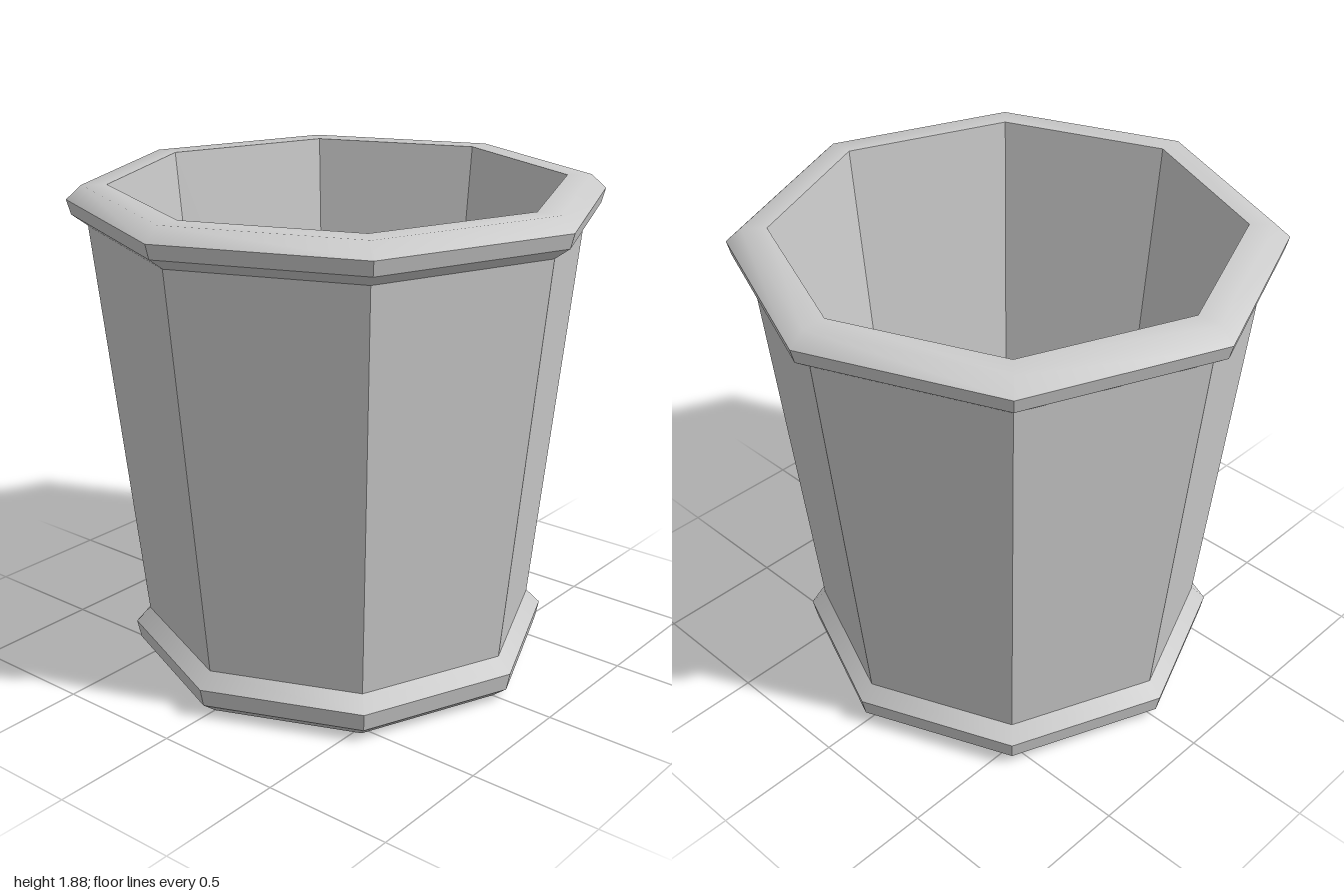
import * as THREE from 'three';

const SIDES = 8;

// Octagonal band swept from [radius, height] points, faceted or smooth around.
function band(name, profile, smooth, material) {
  let geometry = new THREE.LatheGeometry(profile.map(([r, y]) => new THREE.Vector2(r, y)), SIDES);
  if (!smooth) {
    geometry = geometry.toNonIndexed();
    geometry.computeVertexNormals();
  }
  const mesh = new THREE.Mesh(geometry, material);
  mesh.name = name;
  return mesh;
}

export function createModel() {
  const material = new THREE.MeshStandardMaterial({ color: 0xcccccc });
  const model = new THREE.Group();
  model.name = 'planter';

  const parts = [
    // Foot moulding
    ['footUnderside', [[0, 0], [0.745, 0], [0.805, 0.047]], true],
    ['footSide', [[0.805, 0.047], [0.82, 0.118]], false],
    ['footBevel', [[0.82, 0.118], [0.765, 0.175]], true],
    // Tapered outer wall
    ['outerWall', [[0.765, 0.175], [0.926, 1.735]], false],
    // Rim moulding
    ['rimUnderside', [[0.926, 1.735], [0.985, 1.778]], true],
    ['rimSide', [[0.985, 1.778], [1, 1.833]], false],
    ['rimTop', [[1, 1.833], [0.943, 1.885], [0.85, 1.885]], true],
    // Hollow interior
    ['innerWall', [[0.85, 1.885], [0.66, 0.06]], false],
    ['innerFloor', [[0.66, 0.06], [0, 0.06]], false],
  ];
  for (const [name, profile, smooth] of parts) model.add(band(name, profile, smooth, material));

  return model;
}
